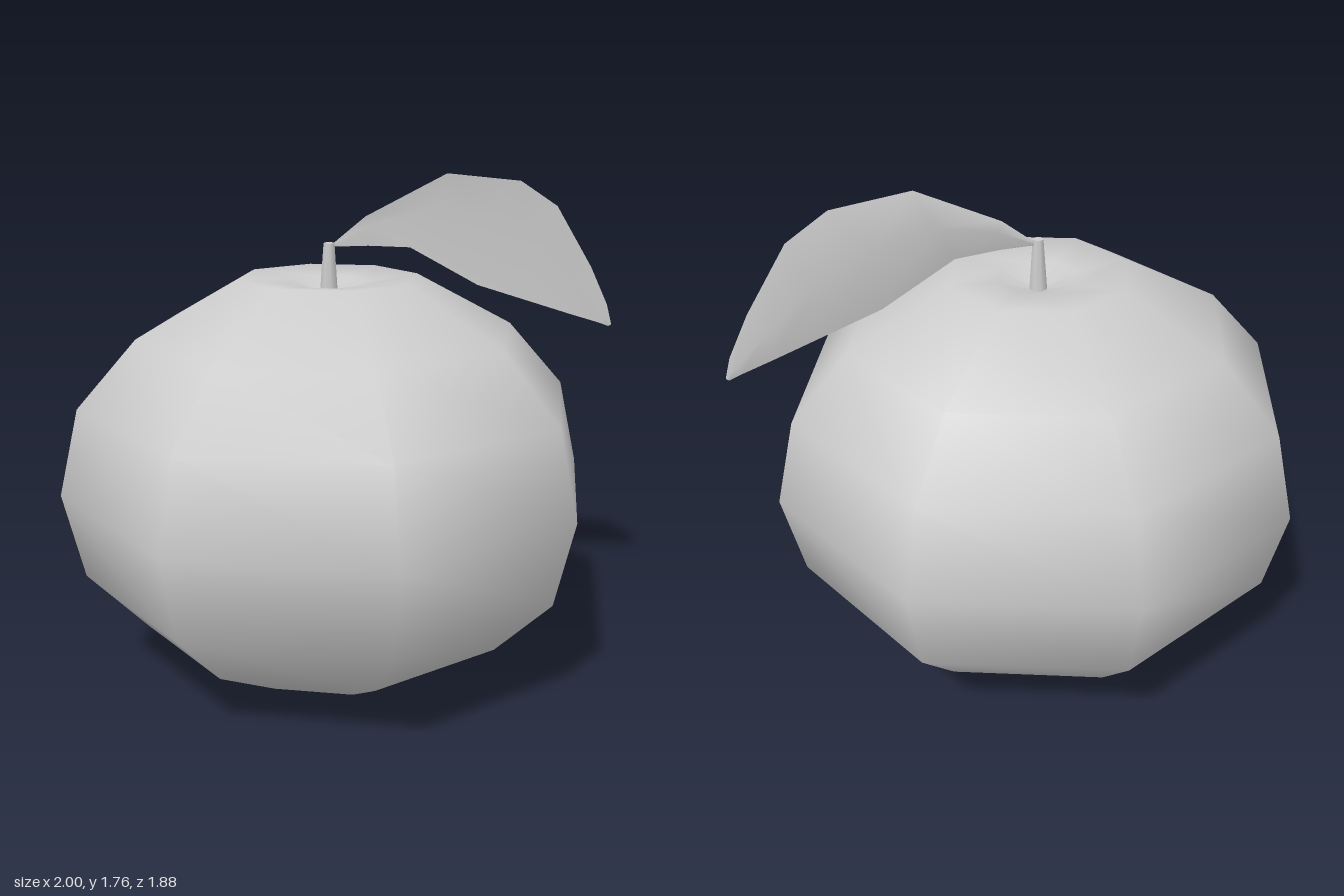
import * as THREE from 'three';

const CENTER_X = -0.06;

function material(extra = {}) {
  return new THREE.MeshStandardMaterial({ color: 0xcccccc, ...extra });
}

// Eight-sided body turned from a profile of [radius, height]
function createBody() {
  const profile = [
    [0, 0], [0.36, 0.02], [0.665, 0.19], [0.87, 0.4], [0.94, 0.7],
    [0.87, 1.0], [0.665, 1.23], [0.315, 1.42], [0.14, 1.4], [0, 1.35],
  ].map(([r, y]) => new THREE.Vector2(r, y));
  const body = new THREE.Mesh(new THREE.LatheGeometry(profile, 8), material());
  body.name = 'fruitBody';
  body.position.x = CENTER_X;
  return body;
}

// Short tapered stem standing in the dimple
function createStem() {
  const stem = new THREE.Mesh(new THREE.CylinderGeometry(0.019, 0.032, 0.18, 8), material());
  stem.name = 'stem';
  stem.position.set(CENTER_X, 1.445, 0.004);
  stem.rotation.x = 0.03;
  return stem;
}

// Thin folded leaf: a front and a back sheet meeting at the outer edges
function createLeaf() {
  // Each station: upper edge x, y, midrib x, y, lower edge x, y, fold depth
  const stations = [
    [-0.045, 1.53, -0.04, 1.525, -0.04, 1.52, 0.004],
    [0.07, 1.62, 0.09, 1.59, 0.08, 1.52, 0.015],
    [0.36, 1.76, 0.3, 1.64, 0.23, 1.51, 0.03],
    [0.63, 1.73, 0.51, 1.6, 0.48, 1.37, 0.032],
    [0.77, 1.64, 0.7, 1.49, 0.66, 1.31, 0.025],
    [0.91, 1.42, 0.86, 1.35, 0.84, 1.25, 0.014],
    [0.98, 1.28, 0.97, 1.24, 0.95, 1.215, 0.006],
    [1.0, 1.21, 0.998, 1.207, 0.99, 1.2, 0.002],
  ];
  const positions = [];
  const indices = [];
  for (const back of [false, true]) {
    const base = positions.length / 3;
    stations.forEach(([ux, uy, mx, my, lx, ly, fold], i) => {
      const midZ = back ? -0.005 - fold : 0.003 - fold * 0.6;
      positions.push(ux, uy, -0.005, mx, my, midZ, lx, ly, -0.005);
      if (i === stations.length - 1) return;
      for (let j = 0; j < 2; j++) {
        const a = base + i * 3 + j, b = a + 1, c = a + 4, d = a + 3;
        if (back) indices.push(a, c, b, a, d, c);
        else indices.push(a, b, c, a, c, d);
      }
    });
  }
  const geometry = new THREE.BufferGeometry();
  geometry.setAttribute('position', new THREE.Float32BufferAttribute(positions, 3));
  geometry.setIndex(indices);
  geometry.computeVertexNormals();
  const leaf = new THREE.Mesh(geometry, material({ side: THREE.DoubleSide }));
  leaf.name = 'leaf';
  return leaf;
}

export function createModel() {
  const model = new THREE.Group();
  model.name = 'citrusFruit';
  model.add(createBody(), createStem(), createLeaf());
  return model;
}
